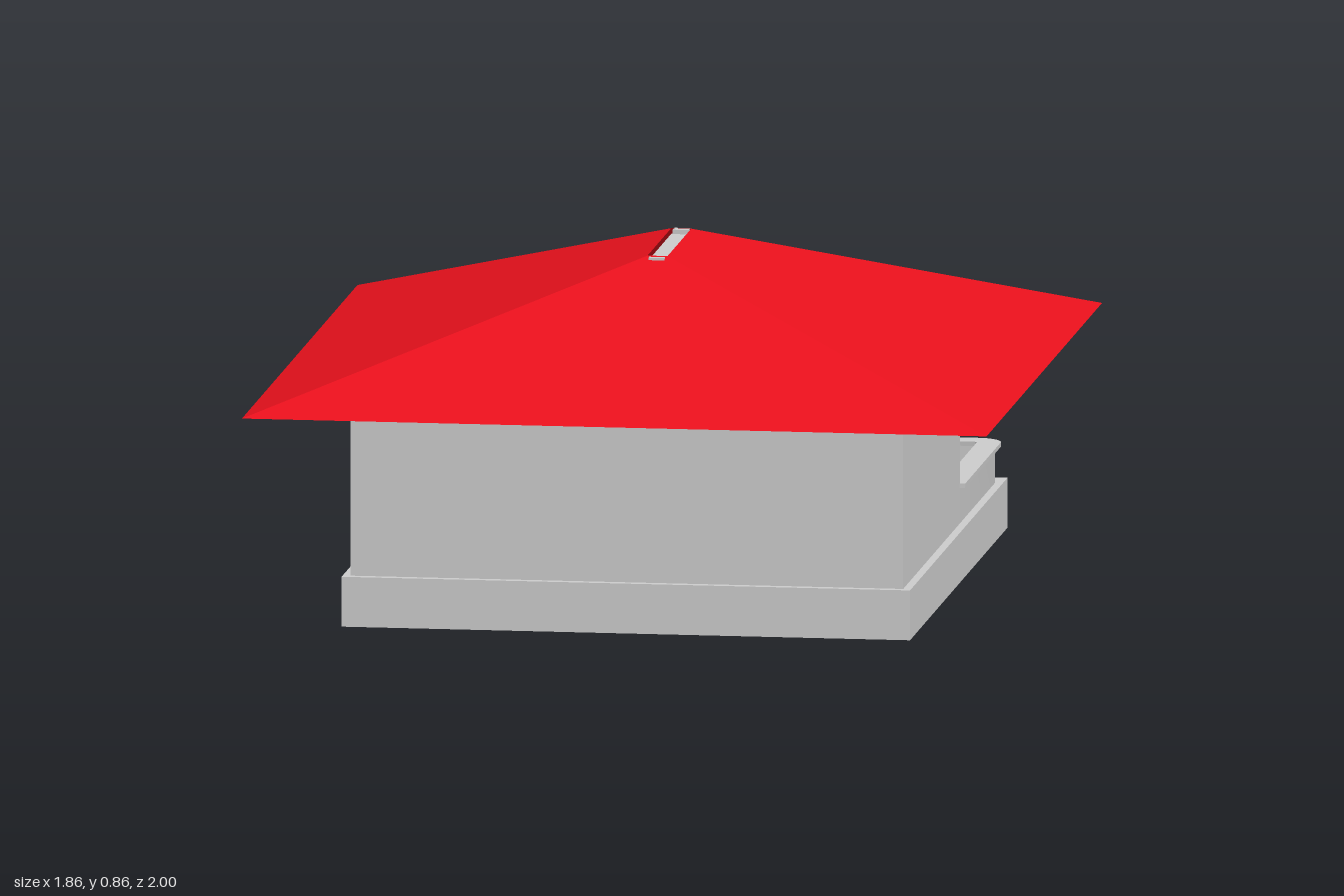
import * as THREE from 'three';
import { toCreasedNormals } from 'three/addons/utils/BufferGeometryUtils.js';

const grey = new THREE.MeshStandardMaterial({ color: 0xcccccc });
const red = new THREE.MeshStandardMaterial({ color: 0xe8101c, side: THREE.DoubleSide });

function add(group, name, geometry, material = grey) {
  const mesh = new THREE.Mesh(geometry, material);
  mesh.name = name;
  group.add(mesh);
  return mesh;
}

// Box given by its lower and upper limits on each axis
function box(group, name, [x0, x1], [y0, y1], [z0, z1], material) {
  const mesh = add(group, name, new THREE.BoxGeometry(x1 - x0, y1 - y0, z1 - z0), material);
  mesh.position.set((x0 + x1) / 2, (y0 + y1) / 2, (z0 + z1) / 2);
  return mesh;
}

// Plan shape (drawn as x, -z) raised from y0 to y1
function raise(group, name, shape, y0, y1) {
  const geo = new THREE.ExtrudeGeometry(shape, { depth: y1 - y0, bevelEnabled: false, curveSegments: 12 });
  geo.rotateX(-Math.PI / 2).translate(0, y0, 0);
  return add(group, name, toCreasedNormals(geo, 0.5));
}

// L-shaped porch band with a rounded outer corner
function porchBand(out, inn, r, zEnd, xEnd) {
  const s = new THREE.Shape();
  const X = 0.69 + out, Z = 0.86 + out, x = 0.69 - inn, z = 0.86 - inn;
  const ro = r + out, ri = Math.max(r - inn, 0.01);
  s.moveTo(X, zEnd);
  s.lineTo(X, Z - ro);
  s.absarc(X - ro, Z - ro, ro, 0, Math.PI / 2, false);
  s.lineTo(xEnd, Z);
  s.lineTo(xEnd, z);
  s.lineTo(x - ri, z);
  s.absarc(x - ri, z - ri, ri, Math.PI / 2, 0, true);
  s.lineTo(x, zEnd);
  s.closePath();
  return s;
}

// Hipped roof: eave rectangle joined to a narrow ridge rectangle, open at the top
function roofGeometry() {
  const ring = (x, y, zf, zb) => [[-x, y, zf], [x, y, zf], [x, y, zb], [-x, y, zb]];
  const low = ring(0.93, 0.55, 1, -1), high = ring(0.025, 0.855, 0.25, -0.16);
  const pos = [];
  const quad = (a, b, c, d) => pos.push(...a, ...b, ...c, ...a, ...c, ...d);
  for (let i = 0; i < 4; i++) {
    const j = (i + 1) % 4;
    quad(low[i], low[j], high[j], high[i]);
  }
  quad(low[3], low[2], low[1], low[0]);
  const geo = new THREE.BufferGeometry();
  geo.setAttribute('position', new THREE.Float32BufferAttribute(pos, 3));
  geo.computeVertexNormals();
  return geo;
}

export function createModel() {
  const house = new THREE.Group();
  house.name = 'house';

  // Plinth
  box(house, 'plinth', [-0.71, 0.71], [0, 0.125], [-0.89, 0.8]);

  // House body, cut away for the back corner porch and the side bay
  const plan = new THREE.Shape([
    [-0.69, -0.78], [0.69, -0.78], [0.69, 0.2], [0.03, 0.2], [0.03, 0.86], [-0.69, 0.86],
    [-0.69, -0.29], [-0.2, -0.29], [-0.2, -0.755], [-0.69, -0.755],
  ].map(([x, y]) => new THREE.Vector2(x, y)));
  raise(house, 'walls', plan, 0.125, 0.552);

  // Porch parapet with its coping
  const porch = new THREE.Group();
  porch.name = 'porch';
  house.add(porch);
  raise(porch, 'parapet', porchBand(0, 0.03, 0.05, 0.2, 0.2), 0.125, 0.215);
  raise(porch, 'coping', porchBand(0.014, 0.045, 0.05, 0.195, 0.185), 0.215, 0.226);

  // Beams carrying the roof over the porch
  box(porch, 'sideBeam', [0.665, 0.69], [0.549, 0.565], [-0.86, -0.2]);
  box(porch, 'backBeam', [0.03, 0.665], [0.549, 0.565], [-0.86, -0.835]);

  // Porch doors, handle and lamp
  box(porch, 'sideDoor', [0.028, 0.034], [0.125, 0.46], [-0.4, -0.24]);
  box(porch, 'backDoor', [0.25, 0.43], [0.125, 0.46], [-0.203, -0.198]);
  box(porch, 'doorHandle', [0.27, 0.29], [0.288, 0.303], [-0.216, -0.2]);
  box(porch, 'wallLamp', [0.33, 0.35], [0.478, 0.49], [-0.216, -0.2]);

  // Roof with a sunken ridge strip and two end caps
  add(house, 'roof', roofGeometry(), red);
  box(house, 'ridgeStrip', [-0.024, 0.024], [0.82, 0.842], [-0.16, 0.25]);
  for (const z of [-0.165, 0.255]) {
    box(house, 'ridgeEndCap', [-0.02, 0.02], [0.838, 0.853], [z - 0.015, z + 0.015]);
  }
  return house;
}
